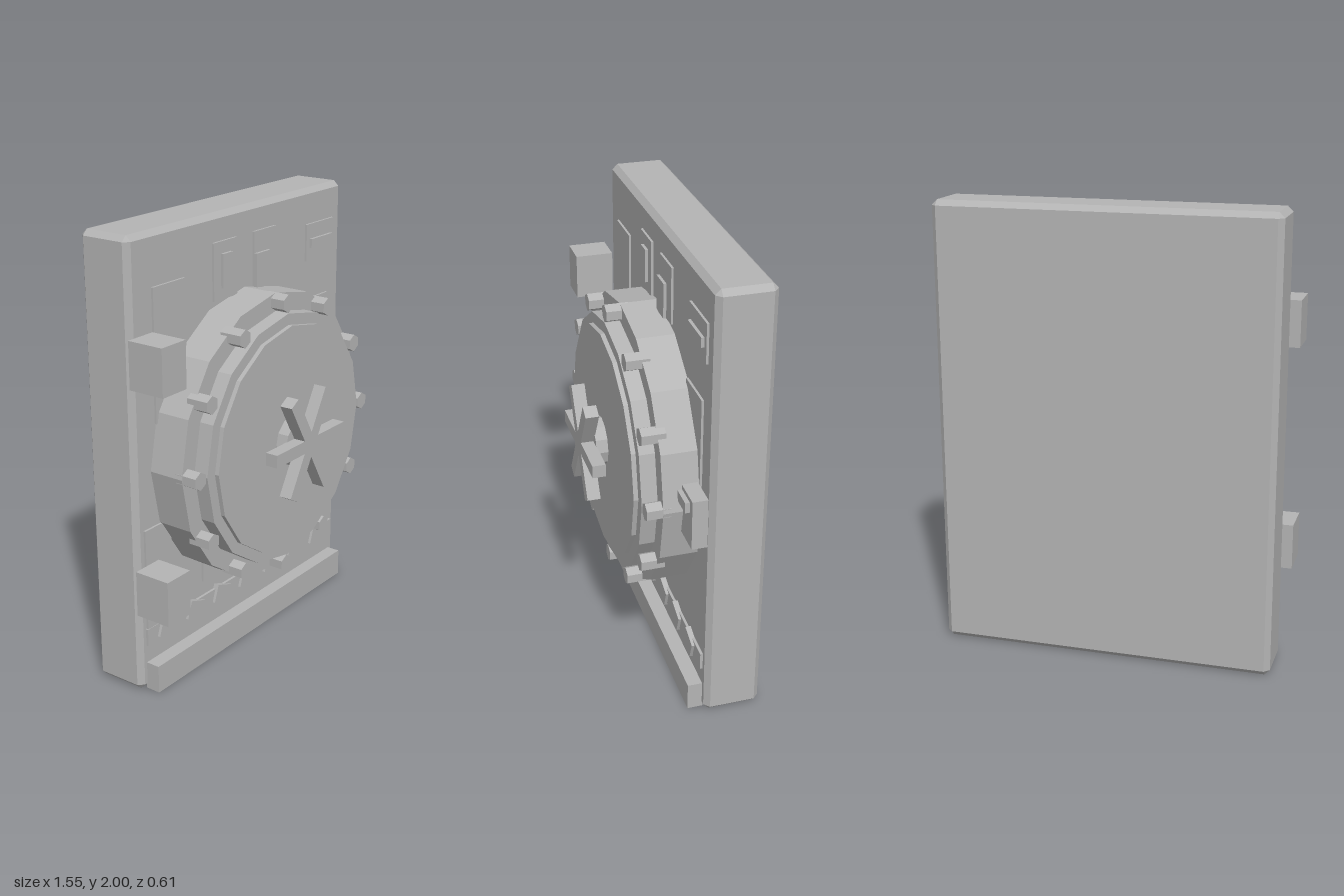
import * as THREE from 'three';
import { ConvexGeometry } from 'three/addons/geometries/ConvexGeometry.js';

const CX = 0.01, CY = 1.0; // centre of the round door
const FACE = -0.055; // front plane of the slab

export function createModel() {
  const grey = new THREE.MeshStandardMaterial({ color: 0xb4b4b4, flatShading: true });
  grey.name = 'plain grey';
  const model = new THREE.Group();
  model.name = 'vaultDoor';

  const add = (name, geometry, parent = model) => {
    const mesh = new THREE.Mesh(geometry, grey);
    mesh.name = name;
    parent.add(mesh);
    return mesh;
  };
  // Box given by its limits on each axis
  const block = (name, x0, x1, y0, y1, z0, z1) => {
    const mesh = add(name, new THREE.BoxGeometry(x1 - x0, y1 - y0, z1 - z0));
    mesh.position.set((x0 + x1) / 2, (y0 + y1) / 2, (z0 + z1) / 2);
    return mesh;
  };
  // Prism along z
  const disc = (name, x, y, radius, z0, z1, sides) => {
    const geometry = new THREE.CylinderGeometry(radius, radius, z1 - z0, sides).rotateX(Math.PI / 2);
    const mesh = add(name, geometry);
    mesh.position.set(x, y, (z0 + z1) / 2);
    return mesh;
  };

  // Slab with every edge chamfered
  const w = 0.75, h = 1, d = 0.125, c = 0.024;
  const corners = [];
  for (const sx of [-1, 1]) for (const sy of [-1, 1]) for (const sz of [-1, 1]) {
    corners.push(
      new THREE.Vector3(sx * w, sy * (h - c), sz * (d - c)),
      new THREE.Vector3(sx * (w - c), sy * h, sz * (d - c)),
      new THREE.Vector3(sx * (w - c), sy * (h - c), sz * d)
    );
  }
  add('slab', new ConvexGeometry(corners)).position.set(CX, 1, FACE - d);

  // Round door in three steps
  disc('doorDrum', CX, CY, 0.648, FACE - 0.01, 0.11, 16);
  disc('doorRing', CX, CY, 0.567, 0.1, 0.178, 16);
  disc('doorPlate', CX, CY, 0.517, 0.17, 0.198, 16);

  // Ring of bolts
  for (let i = 0; i < 12; i++) {
    const a = (i * Math.PI) / 6;
    disc('bolt', CX + 0.61 * Math.cos(a), CY + 0.61 * Math.sin(a), 0.04, 0.075, 0.178, 6);
  }

  // Handwheel
  disc('wheelHub', CX, CY, 0.112, 0.19, 0.25, 12);
  for (let i = 0; i < 3; i++) {
    const spoke = block('wheelSpoke', CX - 0.256, CX + 0.256, CY - 0.029, CY + 0.029, 0.247, 0.306);
    spoke.rotation.z = (i * Math.PI) / 3;
  }

  // Hinges on the right-hand edge
  for (const y of [0.4, 1.4]) block('hinge', -0.78, -0.635, y, y + 0.203, -0.028, 0.142);

  // Latch
  block('latch', 0.635, 0.775, 0.89, 1.115, -0.04, 0.027);
  block('latchTab', 0.64, 0.743, 1.048, 1.095, 0.02, 0.047);

  // Thin wall panels: x0, x1, y0, y1
  const panels = [
    [-0.605, -0.405, 1.2, 1.775],
    [-0.215, -0.053, 1.63, 1.88],
    [0.068, 0.232, 1.63, 1.88],
    [0.468, 0.685, 1.67, 1.84],
    [0.445, 0.645, 1.1, 1.492],
    [-0.695, -0.53, 0.29, 0.75],
    [-0.315, -0.235, 0.36, 0.6],
  ];
  panels.forEach((p) => block('panel', ...p, FACE - 0.005, -0.045));

  // Raised pieces on the panels
  const insets = [
    [-0.167, -0.1, 1.68, 1.828],
    [0.068, 0.168, 1.63, 1.785],
    [0.49, 0.66, 1.73, 1.772],
  ];
  insets.forEach((p) => block('panelInset', ...p, FACE, -0.032));

  // Strip with tilted tiles
  block('strip', -0.7, 0.715, 0.21, 0.29, FACE - 0.005, -0.043);
  for (let i = 0; i < 7; i++) {
    const x = -0.576 + i * 0.192;
    const tile = block('stripTile', x - 0.05, x + 0.05, 0.212, 0.296, FACE, -0.03);
    tile.rotation.z = -0.34;
  }

  // Threshold at the bottom
  block('threshold', -0.7, 0.715, 0, 0.127, FACE - 0.005, 0.01);

  return model;
}
